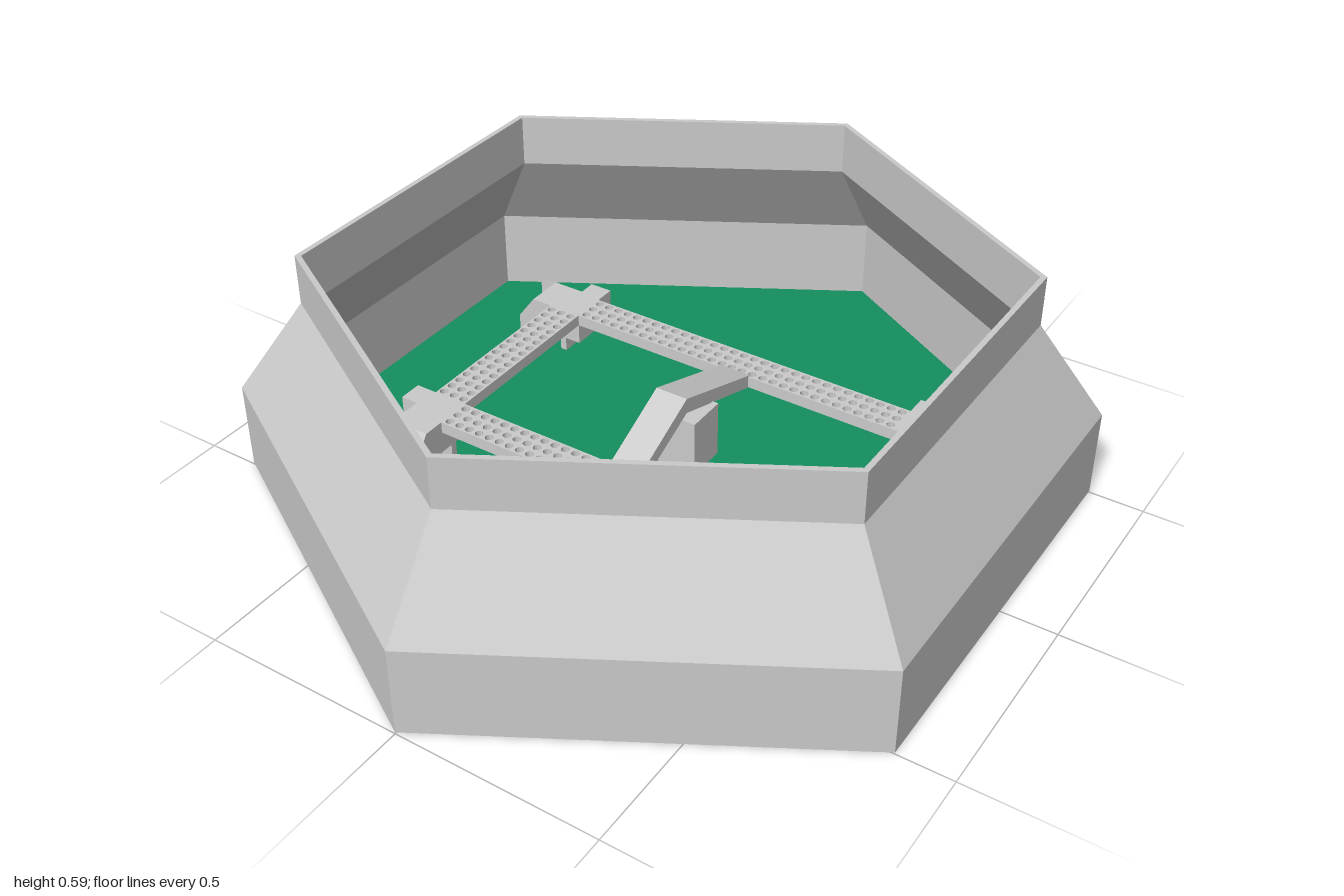
import * as THREE from 'three';

const grey = new THREE.MeshStandardMaterial({ color: 0xcccccc, flatShading: true });
const green = new THREE.MeshStandardMaterial({ color: 0x148f5f, flatShading: true });

const BASE = 0.004; // underside of shell and floor; the feet stand just below it
const DECK = 0.135; // top of the beams and hips

function add(parent, name, geometry, material = grey) {
  const mesh = new THREE.Mesh(geometry, material);
  mesh.name = name;
  parent.add(mesh);
  return mesh;
}

function extrude(points, depth) {
  const shape = new THREE.Shape(points.map(([x, y]) => new THREE.Vector2(x, y)));
  return new THREE.ExtrudeGeometry(shape, { depth, bevelEnabled: false });
}

// Profile given as (z, y), extruded from x0 to x1
function extrudeAlongX(points, x0, x1) {
  return extrude(points, x1 - x0).rotateY(-Math.PI / 2).translate(x1, 0, 0);
}

// Flat plate with a regular grid of round holes
function perforatedBeam(x0, x1, z0, z1, pitch = 0.029) {
  const shape = new THREE.Shape([[x0, z0], [x1, z0], [x1, z1], [x0, z1]].map((p) => new THREE.Vector2(...p)));
  const nx = Math.round((x1 - x0) / pitch);
  const nz = Math.round((z1 - z0) / pitch);
  for (let i = 0; i < nx; i++) {
    for (let j = 0; j < nz; j++) {
      const hole = new THREE.Path();
      hole.absarc(x0 + ((i + 0.5) * (x1 - x0)) / nx, z0 + ((j + 0.5) * (z1 - z0)) / nz, 0.0105, 0, Math.PI * 2, true);
      shape.holes.push(hole);
    }
  }
  return new THREE.ExtrudeGeometry(shape, { depth: 0.03, bevelEnabled: false, curveSegments: 8 })
    .rotateX(Math.PI / 2).translate(0, DECK, 0);
}

// Corner leg: x runs outward, z runs sideways
function createLeg(name) {
  const leg = new THREE.Group();
  leg.name = name;
  // hip with the thin support plate
  add(leg, 'hip', extrude([
    [0, 0.05], [0.043, 0.05], [0.043, 0], [0.06, 0], [0.06, DECK], [0, DECK],
  ], 0.145));
  // thigh with sloped outer end, standing on a wide foot
  add(leg, 'thigh', extrude([
    [0.06, 0.05], [0.115, 0.05], [0.115, 0], [0.193, 0], [0.193, 0.07], [0.145, DECK], [0.06, DECK],
  ], 0.1));
  // sloped side cheek
  add(leg, 'cheek', extrudeAlongX([[0.1, 0.05], [0.145, 0.05], [0.145, 0.085], [0.1, DECK]], 0.06, 0.193));
  add(leg, 'foot', new THREE.BoxGeometry(0.078, 0.055, 0.045).translate(0.154, 0.0275, 0.1225));
  return leg;
}

export function createModel() {
  const model = new THREE.Group();
  model.name = 'hexagonalArena';

  // Thin hexagonal wall, stepping inward towards the rim
  const profile = [
    [1, BASE], [1, 0.225], [0.832, 0.465], [0.832, 0.59], [0.817, 0.59],
    [0.817, 0.46], [0.985, 0.22], [0.985, BASE], [1, BASE],
  ].map((p) => new THREE.Vector2(...p));
  add(model, 'wall', new THREE.LatheGeometry(profile, 6));

  // Green floor
  add(model, 'floor', new THREE.CylinderGeometry(0.986, 0.986, 0.008, 6).translate(0, BASE + 0.004, 0), green);

  const frame = new THREE.Group();
  frame.name = 'walkerFrame';
  model.add(frame);

  // Perforated beams
  add(frame, 'backBeam', perforatedBeam(-0.47, 0.44, -0.39, -0.3));
  add(frame, 'frontBeam', perforatedBeam(-0.47, 0.44, 0.17, 0.26));
  add(frame, 'sideBeam', perforatedBeam(-0.56, -0.47, -0.3, 0.17));

  // Four legs, each turned a quarter from the next
  for (const [name, x, z, turn] of [
    ['frontLeftLeg', 0.44, 0.17, 0],
    ['backLeftLeg', 0.44, -0.3, 1],
    ['backRightLeg', -0.47, -0.3, 2],
    ['frontRightLeg', -0.47, 0.17, -1],
  ]) {
    const leg = createLeg(name);
    leg.position.set(x, 0, z);
    leg.rotation.y = (turn * Math.PI) / 2;
    frame.add(leg);
  }

  // Raised centre arch joining front and back beams, over a motor block
  add(frame, 'centreArch', extrudeAlongX([
    [-0.31, 0.1], [-0.02, 0.195], [0.18, 0.1], [0.18, DECK], [-0.02, 0.235], [-0.31, DECK],
  ], -0.043, 0.041));
  add(frame, 'motorBlock', new THREE.BoxGeometry(0.115, 0.15, 0.105).translate(-0.001, 0.085, -0.083));

  return model;
}
